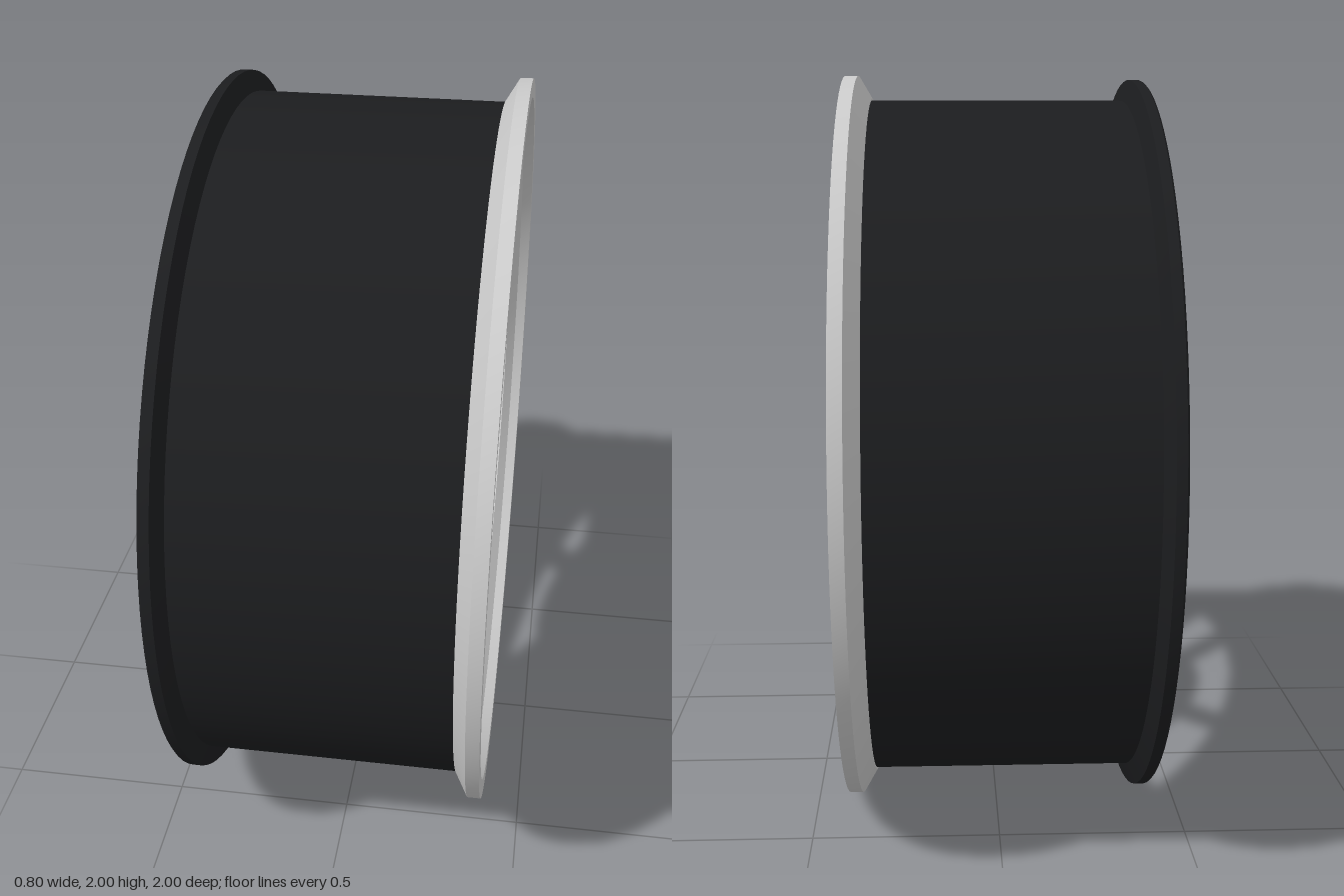
import * as THREE from 'three';
import { toCreasedNormals } from 'three/addons/utils/BufferGeometryUtils.js';

const grey = new THREE.MeshStandardMaterial({ color: 0xcccccc });
const flatGrey = new THREE.MeshStandardMaterial({ color: 0xcccccc, flatShading: true });
const black = new THREE.MeshStandardMaterial({ color: 0x1c1d1f });

// Turned part around the x axis; profile points are [radius, x], anticlockwise
function turned(name, profile, material) {
  const points = profile.map(([r, x]) => new THREE.Vector2(r, x));
  const geometry = toCreasedNormals(new THREE.LatheGeometry(points, 96), 0.3);
  geometry.rotateZ(-Math.PI / 2);
  const mesh = new THREE.Mesh(geometry, material);
  mesh.name = name;
  return mesh;
}

// Ridged bar along +z; sections are [z, ridge x, shoulder x, back x, half width]
function spokeGeometry(sections) {
  const positions = [];
  const index = [];
  const n = 5;
  for (const [z, ridge, shoulder, back, w] of sections) {
    positions.push(ridge, 0, z, shoulder, w, z, back, w, z, back, -w, z, shoulder, -w, z);
  }
  for (let i = 0; i < sections.length - 1; i++) {
    for (let j = 0; j < n; j++) {
      const a = i * n + j;
      const b = i * n + (j + 1) % n;
      index.push(a, b, b + n, a, b + n, a + n);
    }
  }
  // End caps
  const last = (sections.length - 1) * n;
  for (let j = 1; j < n - 1; j++) {
    index.push(0, j + 1, j, last, last + j, last + j + 1);
  }
  const geometry = new THREE.BufferGeometry();
  geometry.setAttribute('position', new THREE.Float32BufferAttribute(positions, 3));
  geometry.setIndex(index);
  geometry.computeVertexNormals();
  return geometry;
}

export function createModel() {
  const wheel = new THREE.Group();
  wheel.name = 'wheel';
  wheel.position.y = 1;

  // Dark barrel with flared inner lip
  wheel.add(turned('barrel', [
    [0.95, -0.4], [0.985, -0.4], [0.99, -0.395], [0.99, -0.37], [0.935, -0.35],
    [0.935, 0.33], [0.905, 0.33], [0.905, -0.34], [0.95, -0.37], [0.95, -0.4],
  ], black));

  // Pale outer rim: lip, stepped dish and the flange that carries the spokes
  wheel.add(turned('outerRim', [
    [0.83, 0.1], [0.904, 0.1], [0.904, 0.328], [0.94, 0.33], [1, 0.365], [1, 0.4],
    [0.95, 0.4], [0.94, 0.37], [0.91, 0.345], [0.91, 0.33], [0.895, 0.325],
    [0.89, 0.17], [0.83, 0.16], [0.83, 0.1],
  ], grey));

  // Hub with a recessed dark ring and a centre cap
  wheel.add(turned('hub', [
    [0, 0.17], [0.38, 0.17], [0.38, 0.235], [0.25, 0.235], [0.25, 0.19], [0, 0.19],
  ], grey));
  wheel.add(turned('hubRing', [
    [0.2, 0.19], [0.255, 0.19], [0.255, 0.238], [0.245, 0.238], [0.24, 0.215], [0.2, 0.215],
  ], black));
  wheel.add(turned('centreCap', [
    [0, 0.19], [0.205, 0.19], [0.205, 0.275], [0.198, 0.285], [0, 0.285],
  ], grey));

  // Five ridged spokes with flared ends, each with a hexagonal bolt
  const bar = spokeGeometry([
    [0.31, 0.25, 0.205, 0.15, 0.037],
    [0.76, 0.2, 0.155, 0.105, 0.04],
    [0.81, 0.195, 0.155, 0.09, 0.054],
    [0.855, 0.19, 0.155, 0.09, 0.056],
  ]);
  const hex = new THREE.CylinderGeometry(0.046, 0.046, 0.1, 6);
  hex.rotateZ(-Math.PI / 2);
  for (let i = 0; i < 5; i++) {
    const angle = i * Math.PI * 2 / 5;
    const spoke = new THREE.Mesh(bar, flatGrey);
    spoke.name = 'spoke';
    spoke.rotation.x = angle;
    wheel.add(spoke);

    const bolt = new THREE.Mesh(hex, flatGrey);
    bolt.name = 'bolt';
    bolt.position.set(0.245, -0.32 * Math.sin(angle), 0.32 * Math.cos(angle));
    wheel.add(bolt);
  }

  const model = new THREE.Group();
  model.add(wheel);
  return model;
}
